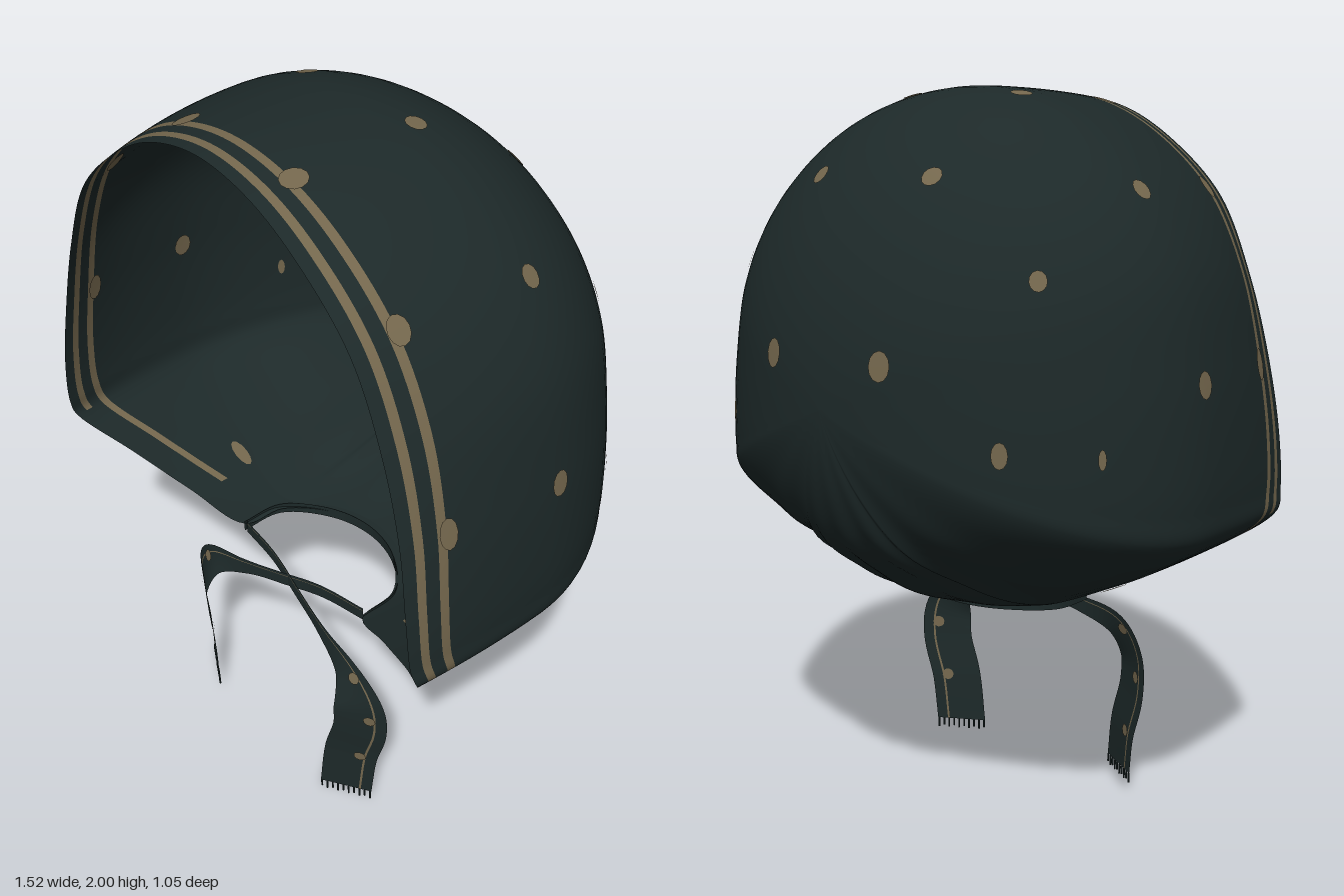
import * as THREE from 'three';

const fabric = new THREE.MeshStandardMaterial({ color: 0x1d2929, side: THREE.DoubleSide });
fabric.name = 'dark green fabric';
const trim = new THREE.MeshStandardMaterial({ color: 0x74674d, side: THREE.DoubleSide });
trim.name = 'tan print';

const V = (x, y, z) => new THREE.Vector3(x, y, z);
const smooth = THREE.MathUtils.smoothstep;

// Grid surface; isTrim(row, col) picks the tan cells.
function gridMesh(name, rows, cols, point, isTrim, wrap = false) {
  const n = wrap ? cols : cols + 1;
  const pos = [], plain = [], tan = [];
  for (let r = 0; r <= rows; r++)
    for (let c = 0; c < n; c++) pos.push(...point(r, c / cols).toArray());
  for (let r = 0; r < rows; r++)
    for (let c = 0; c < cols; c++) {
      const d = (c + 1) % n;
      const a = r * n + c, b = r * n + d, e = a + n, f = b + n;
      (isTrim(r, c) ? tan : plain).push(a, e, b, b, e, f);
    }
  const g = new THREE.BufferGeometry();
  g.setAttribute('position', new THREE.Float32BufferAttribute(pos, 3));
  g.setIndex([...plain, ...tan]);
  g.addGroup(0, plain.length, 0);
  g.addGroup(plain.length, tan.length, 1);
  g.computeVertexNormals();
  const mesh = new THREE.Mesh(g, [fabric, trim]);
  mesh.name = name;
  return mesh;
}

// Closed symmetric loop from its +x half (first and last points lie on x = 0).
function loop(half) {
  const a = half.map(p => V(...p));
  const b = half.slice(1, -1).reverse().map(p => V(-p[0], p[1], p[2]));
  return new THREE.CatmullRomCurve3([...a, ...b], true, 'centripetal');
}

// Free edge: face opening, jaw edge, then the nape
const rim = loop([
  [0, 1.985, 0.51], [0.18, 1.95, 0.51], [0.34, 1.86, 0.51], [0.5, 1.71, 0.51], [0.6, 1.5, 0.51],
  [0.665, 1.28, 0.515], [0.7, 1.08, 0.525], [0.715, 0.93, 0.52], [0.718, 0.87, 0.5], [0.59, 0.765, 0.41],
  [0.42, 0.675, 0.33], [0.26, 0.605, 0.26], [0.24, 0.6, 0.13], [0.13, 0.6, 0.03], [0, 0.6, 0]]);
// Widest section, further back
const belly = loop([
  [0, 2, 0.1], [0.2, 1.975, 0.1], [0.38, 1.9, 0.1], [0.56, 1.75, 0.1], [0.68, 1.55, 0.1],
  [0.735, 1.3, 0.1], [0.755, 1.1, 0.1], [0.757, 0.95, 0.1], [0.745, 0.868, 0.1], [0.59, 0.757, 0.1],
  [0.42, 0.672, 0.1], [0.28, 0.61, 0.1], [0.24, 0.6, 0.08], [0.13, 0.6, 0.0], [0, 0.6, -0.03]]);

const POLE_Y = 1.2, POLE_Z = -0.525;
const edge = [0, 0.033, 0.055, 0.09, 0.113];   // stripe borders, measured back from the rim
const FLAT = 10, DOME = 24;

function shellPoint(r, u) {
  const R = rim.getPoint(u), M = belly.getPoint(u);
  M.z = Math.min(M.z, R.z - 0.02);
  const L = R.z - M.z;
  if (r <= FLAT) {
    const k = Math.min(1, L / 0.16);
    const last = edge[4] * k;
    const d = r < 5 ? edge[r] * k : last + (L - last) * (r - 4) / (FLAT - 4);
    const s = 1 - d / L;
    return V(M.x + (R.x - M.x) * s * s, M.y + (R.y - M.y) * s * s, R.z - d);
  }
  const phi = Math.PI / 2 * (1 - (r - FLAT) / DOME);
  // drawn-in nape with gathers fanning out from it
  const low = smooth(0.22 - Math.abs(u - 0.5), 0, 0.12);
  const pull = 0.075 * smooth(phi, 0.55, 1.1) - 0.01 * Math.cos(40 * Math.PI * u);
  const w = Math.sin(phi) - low * Math.sin(2 * phi) * pull;
  return V(M.x * w, POLE_Y + (M.y - POLE_Y) * w, M.z - (M.z - POLE_Z) * Math.cos(phi));
}

// Flat oval draped on the shell, once outside and once inside
function dot(shell, c, rx, ry) {
  const ray = new THREE.Raycaster();
  const O = V(0, POLE_Y, Math.max(0.1, c.z));
  const dir = c.clone().sub(O).normalize();
  const side = V(0, 1, 0).cross(dir).normalize(), up = dir.clone().cross(side);
  const group = new THREE.Group();
  group.name = 'printedDot';
  for (const off of [0.004, -0.004]) {
    const g = new THREE.CircleGeometry(1, 12), p = g.attributes.position;
    for (let i = 0; i < p.count; i++) {
      const q = c.clone().addScaledVector(side, p.getX(i) * rx).addScaledVector(up, p.getY(i) * ry);
      const d = q.clone().sub(O).normalize();
      ray.set(O, d);
      const hit = ray.intersectObject(shell)[0];
      if (hit) q.copy(hit.point);
      q.addScaledVector(d, off);
      p.setXYZ(i, q.x, q.y, q.z);
    }
    g.computeVertexNormals();
    group.add(new THREE.Mesh(g, trim));
  }
  return group;
}

// One tie: starts at the far jaw, crosses under the chin and hangs on side s
function tie(s, endY, lift) {
  const group = new THREE.Group();
  group.name = s > 0 ? 'leftTie' : 'rightTie';
  const curve = new THREE.CatmullRomCurve3([
    [-0.25, 0.6, 0.25], [-0.1, 0.592, 0.27], [0.04, 0.565, 0.3], [0.18, 0.535, 0.33], [0.3, 0.49, 0.35],
    [0.352, 0.41, 0.355], [0.358, 0.31, 0.352], [0.325, 0.18, 0.358], [0.31, endY, 0.365],
  ].map(p => V(p[0] * s, p[1], p[2] + lift)));
  const frame = t => {
    const T = curve.getTangent(Math.max(t, 0.02));
    const across = V(-T.y * s, T.x * s, 0).normalize();   // towards the outer edge
    const open = smooth(t, 0.3, 0.7);
    if (t > 0.95) across.set(s, 0, 0);
    across.z = -0.6 * open;
    return { p: curve.getPoint(t), across, half: 0.021 + 0.045 * open };
  };
  const strip = [-1, -0.6, -0.2, 0.2, 0.5, 0.58, 0.8, 1];
  group.add(gridMesh('ribbon', 7, 60, (r, t) => {
    const f = frame(t);
    return f.p.addScaledVector(f.across, f.half * strip[r]);
  }, r => r === 4));
  // printed dots on both faces
  for (const t of [0.53, 0.7, 0.87]) {
    const f = frame(t);
    const n = f.across.clone().normalize().cross(curve.getTangent(t)).normalize();
    for (const off of [0.004, -0.004]) {
      const m = new THREE.Mesh(new THREE.CircleGeometry(0.018, 10), trim);
      m.name = 'ribbonDot';
      m.position.copy(f.p).addScaledVector(f.across, f.half * 0.35).addScaledVector(n, off);
      m.quaternion.setFromUnitVectors(V(0, 0, 1), n);
      group.add(m);
    }
  }
  // fringe
  const e = frame(1);
  for (let i = 0; i < 10; i++) {
    const len = 0.024 + 0.006 * (i % 2);
    const thread = new THREE.Mesh(new THREE.BoxGeometry(0.004, len, 0.004), fabric);
    thread.name = 'fringeThread';
    thread.position.copy(e.p).addScaledVector(e.across, e.half * (-0.95 + i * 1.9 / 9));
    thread.position.y -= len / 2;
    group.add(thread);
  }
  return group;
}

export function createModel() {
  const model = new THREE.Group();
  model.name = 'bonnet';

  // Hood with two stripes round the opening; only the inner one runs on along the jaw
  const COLS = 224;
  const shell = gridMesh('hood', FLAT + DOME, COLS, shellPoint, (r, c) => {
    const fromNape = Math.abs(c / COLS - 0.5);
    return (r === 1 && fromNape > 0.21) || (r === 3 && fromNape > 0.135);
  }, true);
  model.add(shell);
  shell.updateMatrixWorld(true);

  // Scattered dots, mirrored: position, then half width and half height
  for (const [x, y, z, rx, ry] of [
    [0.19, 1.76, -0.31, 0.027, 0.027], [0.5, 1.53, -0.29, 0.022, 0.026], [0.18, 1.32, -0.48, 0.029, 0.037],
    [0.46, 1.13, -0.38, 0.02, 0.032], [0.62, 1.12, -0.21, 0.01, 0.024], [0.57, 1.74, 0.03, 0.026, 0.03],
    [0.75, 1.27, 0.07, 0.027, 0.036], [0.19, 1.97, 0.03, 0.029, 0.027], [0.19, 1.95, 0.395, 0.036, 0.03],
    [0.53, 1.74, 0.395, 0.027, 0.036], [0.69, 1.28, 0.4, 0.023, 0.042], [0.45, 0.68, 0.12, 0.02, 0.045]])
    for (const s of [1, -1]) model.add(dot(shell, V(x * s, y, z), rx, ry));

  // Gathered band round the nape
  const band = new THREE.CatmullRomCurve3([
    [-0.26, 0.6, 0.26], [-0.25, 0.6, 0.13], [-0.13, 0.6, 0.03], [0, 0.6, 0],
    [0.13, 0.6, 0.03], [0.25, 0.6, 0.13], [0.26, 0.6, 0.26]].map(p => V(...p)));
  model.add(gridMesh('neckBand', 2, 48, (r, t) => {
    const p = band.getPoint(t);
    p.y += 0.012 - r * 0.017;
    return p;
  }, () => false));

  model.add(tie(1, 0.03, 0.008), tie(-1, 0.06, 0));
  return model;
}
